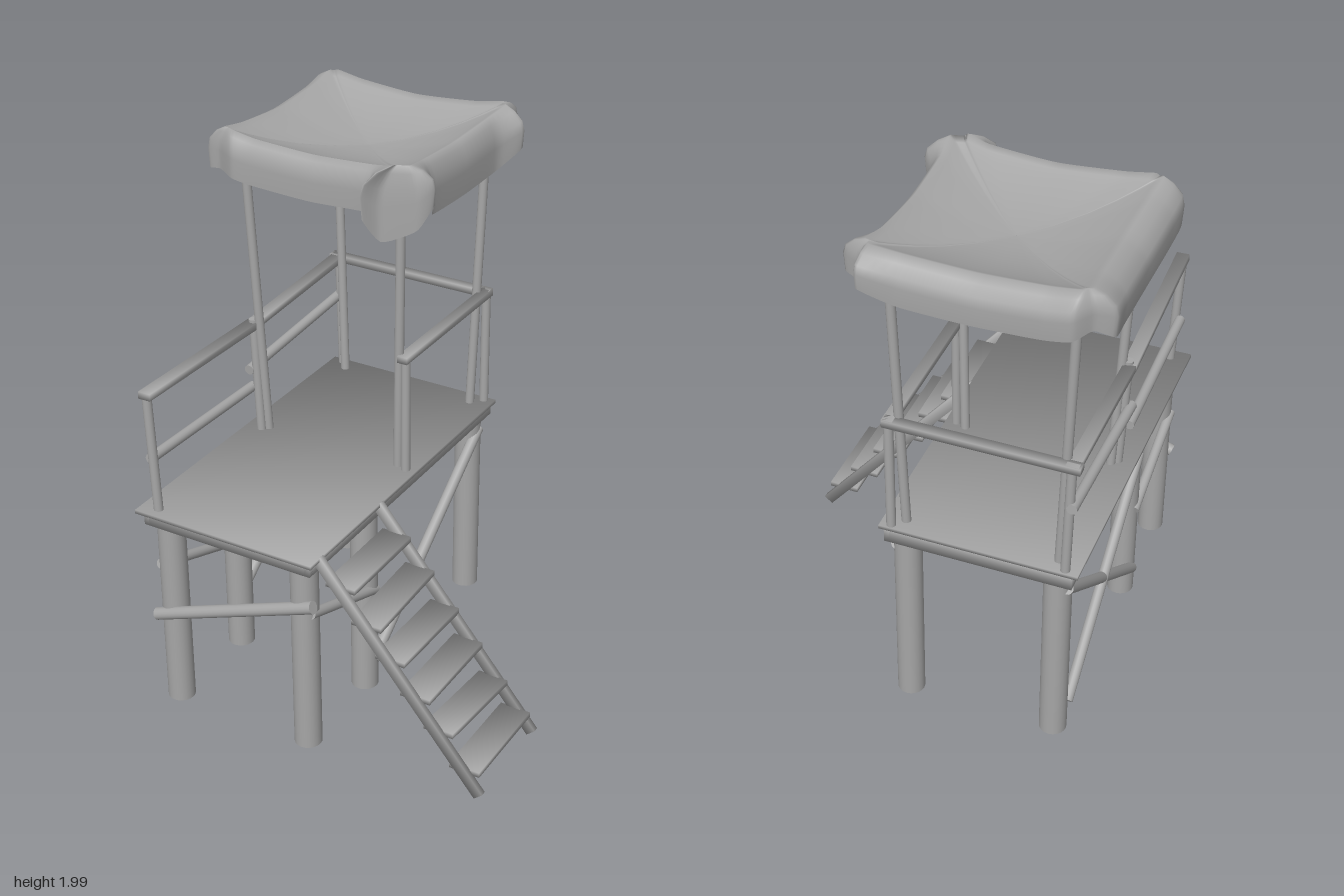
import * as THREE from 'three';

const mat = new THREE.MeshStandardMaterial({ color: 0xa6a6a6 });
const thinMat = new THREE.MeshStandardMaterial({ color: 0xa6a6a6, side: THREE.DoubleSide });
const V = (a) => new THREE.Vector3(...a);

// Box whose normals are smoothed across its corners
function softBox(w, h, d) {
  const geo = new THREE.BoxGeometry(w, h, d);
  const p = geo.attributes.position, k = 1 / Math.sqrt(3);
  for (let i = 0; i < p.count; i++) {
    geo.attributes.normal.setXYZ(i, k * Math.sign(p.getX(i)), k * Math.sign(p.getY(i)), k * Math.sign(p.getZ(i)));
  }
  return geo;
}

export function createModel() {
  const model = new THREE.Group();

  const add = (name, geo, material = mat) => {
    const mesh = new THREE.Mesh(geo, material);
    mesh.name = name;
    model.add(mesh);
    return mesh;
  };
  const box = (name, size, pos) => {
    const mesh = add(name, softBox(...size));
    mesh.position.set(...pos);
    return mesh;
  };
  // Round pole between two points
  const pole = (name, a, b, r) => {
    const p = V(a), q = V(b);
    const mesh = add(name, new THREE.CylinderGeometry(r, r, p.distanceTo(q), 16));
    mesh.position.copy(p).lerp(q, 0.5);
    mesh.quaternion.setFromUnitVectors(new THREE.Vector3(0, 1, 0), q.sub(p).normalize());
  };
  // Flat plank between two points
  const plank = (name, a, b, w, h) => {
    const p = V(a), q = V(b);
    const mesh = add(name, softBox(w, h, p.distanceTo(q)));
    mesh.position.copy(p).lerp(q, 0.5);
    mesh.lookAt(q);
  };

  // Platform: thin deck over a frame of boards
  box('deck', [0.72, 0.014, 1.335], [-0.26, 0.803, 0.067]);
  for (const x of [-0.59, 0.07]) box('sideBoard', [0.02, 0.052, 1.31], [x, 0.771, 0.055]);
  for (const z of [-0.59, 0.70]) box('endBoard', [0.68, 0.052, 0.02], [-0.26, 0.771, z]);

  // Six round legs, open at the ends
  for (const x of [-0.53, 0.02])
    for (const z of [0.65, 0.255, -0.53]) {
      const leg = add('leg', new THREE.CylinderGeometry(0.05, 0.05, 0.796, 20, 1, true), thinMat);
      leg.position.set(x, 0.398, z);
    }

  // Braces set into the sides of the legs
  pole('frontBrace', [-0.585, 0.36, 0.693], [0.08, 0.615, 0.693], 0.023);
  for (const x of [-0.572, 0.055]) {
    pole('longBrace', [x, 0.11, 0.25], [x, 0.70, -0.55], 0.021);
    pole('shortBrace', [x, 0.565, 0.67], [x, 0.415, 0.235], 0.019);
  }
  pole('crossBrace', [-0.575, 0.69, 0.24], [-0.575, 0.12, -0.51], 0.02);

  // Railing posts
  const railPosts = [
    [-0.55, -0.57, 0.69], [-0.555, -0.575, 0.03], [-0.57, -0.58, -0.58],
    [0.06, 0.06, 0.025], [0.06, 0.06, -0.58],
  ];
  for (const [x0, x1, z] of railPosts) pole('railPost', [x0, 0.8, z], [x1, 1.26, z], 0.017);

  // Hand rails and middle rails
  plank('handRail', [-0.565, 1.262, 0.71], [-0.58, 1.236, 0.02], 0.048, 0.026);
  plank('handRail', [-0.58, 1.234, 0.05], [-0.585, 1.263, -0.6], 0.045, 0.026);
  plank('handRail', [0.058, 1.262, 0.05], [0.058, 1.262, -0.6], 0.04, 0.026);
  plank('handRail', [-0.615, 1.262, -0.585], [0.075, 1.262, -0.585], 0.04, 0.026);
  pole('middleRail', [-0.58, 1.0, 0.68], [-0.588, 0.98, 0.03], 0.019);
  pole('middleRail', [-0.588, 1.055, 0.05], [-0.59, 1.098, -0.6], 0.019);

  // Canopy poles, leaning slightly outward
  for (const [x0, x1] of [[-0.535, -0.58], [0.02, 0.05]])
    for (const [z0, z1] of [[0.01, 0.042], [-0.54, -0.575]])
      pole('canopyPole', [x0, 0.8, z0], [x1, 1.94, z1], 0.017);

  // Ladder: two stringers and six uneven treads
  for (const z of [0.265, 0.665]) plank('ladderStringer', [0.085, 0.80, z], [0.715, 0.045, z], 0.022, 0.04);
  const tilts = [0, 0.03, -0.01, 0, -0.05, 0];
  tilts.forEach((tilt, i) => {
    const tread = box('ladderTread', [0.115, 0.02, 0.385], [0.165 + i * 0.097, 0.70 - i * 0.116, 0.463]);
    tread.rotation.set(tilt, tilt * 0.6, 0);
  });

  // Canopy corners: peak, ear on the incoming side, hanging tips, ear on the outgoing side
  const corners = [
    [[0.06, 1.995, 0.05], [-0.04, 1.81, 0.15], [0.0, 1.715, 0.09], [0.12, 1.77, 0.06], [0.16, 1.85, 0.015]],
    [[0.07, 1.995, -0.62], [0.175, 1.85, -0.61], [0.11, 1.85, -0.65], [0.09, 1.87, -0.72]],
    [[-0.61, 1.995, -0.62], [-0.60, 1.84, -0.70], [-0.65, 1.86, -0.65], [-0.71, 1.83, -0.615]],
    [[-0.62, 1.995, 0.05], [-0.715, 1.83, 0.055], [-0.66, 1.84, 0.07], [-0.59, 1.83, 0.105]],
  ].map((c) => c.map(V));
  // Skirt of each side: right, back, left, front as [outward reach, hem height]
  const skirt = [[0.06, 1.775], [0.085, 1.81], [0.1, 1.8], [0.055, 1.805]];
  const top = [], hem = [];
  corners.forEach(([peak, ...tips], i) => {
    for (const tip of tips) {
      top.push(peak.clone().lerp(tip, 0.2).setY(peak.y));
      hem.push(tip);
    }
    const next = corners[(i + 1) % 4][0];
    const dir = next.clone().sub(peak).normalize();
    const out = new THREE.Vector3(-dir.z, 0, dir.x);
    const [reach, low] = skirt[i];
    for (const t of [0.16, 0.5, 0.84]) {
      const sag = 4 * t * (1 - t);
      const p = peak.clone().lerp(next, t);
      top.push(p.clone().addScaledVector(out, 0.02 - 0.015 * sag).setY(1.995 - 0.03 * sag));
      hem.push(p.clone().addScaledVector(out, reach - 0.01 * sag).setY(low + 0.025 * (1 - sag)));
    }
  });
  const fold = (h, v) => top.map((p, i) => {
    const q = p.clone().lerp(hem[i], h);
    return q.setY(THREE.MathUtils.lerp(p.y, hem[i].y, v));
  });

  // Rings: sagging top from the centre outwards, then the hanging skirt
  const centre = new THREE.Vector3(-0.27, 1.885, -0.285);
  const sagRing = (s) => top.map((p) => {
    const q = centre.clone().lerp(p, s);
    return q.setY(centre.y + (p.y - 0.006 - centre.y) * Math.pow(s, 2));
  });
  const rings = [0.001, 0.25, 0.5, 0.7, 0.85, 0.95].map(sagRing);
  rings.push(fold(0.1, 0.01), fold(0.55, 0.12), fold(0.95, 0.32), fold(1.06, 0.55), hem);

  const n = 132, pos = [], index = [];
  rings.forEach((ring, k) => {
    const curve = new THREE.CatmullRomCurve3(ring, true, 'catmullrom', 0.3);
    for (let i = 0; i < n; i++) {
      pos.push(...curve.getPoint(i / n).toArray());
      if (k === 0) continue;
      const a = (k - 1) * n + i, b = (k - 1) * n + (i + 1) % n;
      index.push(a, a + n, b, b, a + n, b + n);
    }
  });
  const cloth = new THREE.BufferGeometry();
  cloth.setAttribute('position', new THREE.Float32BufferAttribute(pos, 3));
  cloth.setIndex(index);
  cloth.computeVertexNormals();
  add('clothCanopy', cloth, thinMat);

  return model;
}
